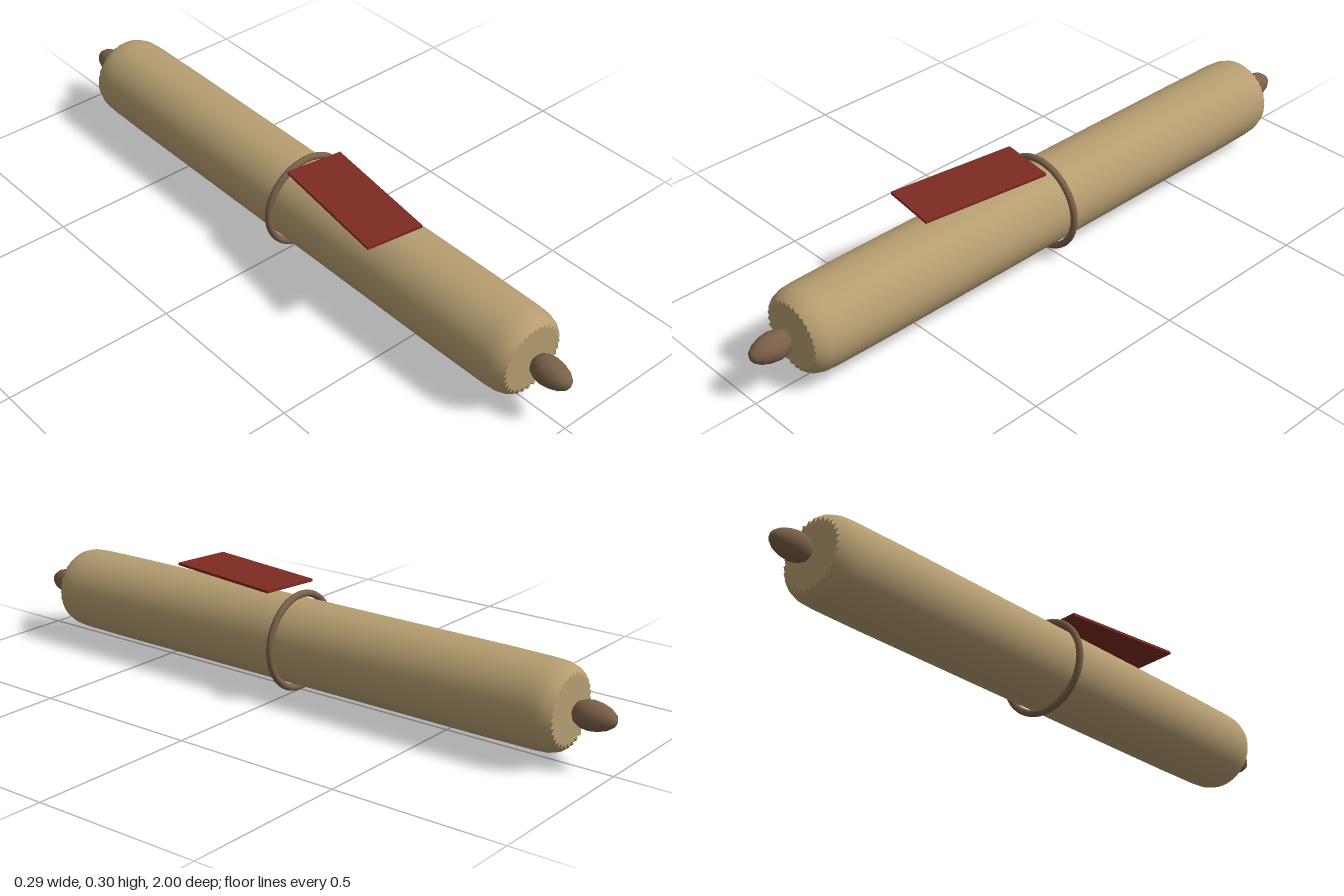
import * as THREE from 'three';

const AXIS_Y = 0.147;
const END_Z = 0.871;
const SEGMENTS = 64;
const RIM = 0.102;
const NOTCH = 0.87; // scale of every second rim point

const mat = (name, color) => new THREE.MeshStandardMaterial({ name, color });

export function createModel() {
  const parchment = mat('parchment', 0xb59d70);
  const wood = mat('brown wood', 0x7a6047);
  const red = mat('red ribbon', 0x7d2b22);

  const model = new THREE.Group();
  model.name = 'scroll';
  const add = (name, geometry, material, y = AXIS_Y) => {
    const mesh = new THREE.Mesh(geometry, material);
    mesh.name = name;
    mesh.position.y = y;
    model.add(mesh);
    return mesh;
  };

  // Rolled sheet: a long roll with rounded shoulders and ragged rims
  const half = [[0.123, 0.64], [0.1215, 0.8], [0.119, 0.835], [0.112, 0.857], [RIM, END_Z]];
  const profile = [
    ...half.slice().reverse().map(([r, z]) => new THREE.Vector2(r, -z)),
    ...half.map(([r, z]) => new THREE.Vector2(r, z)),
  ];
  const roll = new THREE.LatheGeometry(profile, SEGMENTS);
  const p = roll.attributes.position;
  for (let i = 1; i < SEGMENTS; i += 2) {
    for (const j of [0, profile.length - 1]) {
      const k = i * profile.length + j;
      p.setXYZ(k, p.getX(k) * NOTCH, p.getY(k), p.getZ(k) * NOTCH);
    }
  }
  add('roll', roll.rotateX(Math.PI / 2), parchment);

  // Egg-shaped finial profile, running outward along the axis
  const knobProfile = [
    [0, 0.88], [0.018, 0.882], [0.029, 0.89], [0.037, 0.907], [0.04, 0.927],
    [0.037, 0.952], [0.029, 0.976], [0.017, 0.993], [0.008, 0.998], [0, 1],
  ].map(([r, z]) => new THREE.Vector2(r, z));

  for (const side of [1, -1]) {
    const label = side > 0 ? 'front' : 'back';

    // Ragged flat end
    const cap = new THREE.CircleGeometry(RIM, SEGMENTS);
    const c = cap.attributes.position;
    for (let i = 1; i <= SEGMENTS; i += 2) {
      c.setXY(i + 1, c.getX(i + 1) * NOTCH, c.getY(i + 1) * NOTCH);
    }
    cap.translate(0, 0, END_Z);
    if (side < 0) cap.rotateY(Math.PI);
    add(label + 'End', cap, parchment);

    // Wooden knob
    const knob = new THREE.LatheGeometry(knobProfile, 32).rotateX(side * Math.PI / 2);
    add(label + 'Knob', knob, wood);
  }

  // Band around the middle
  add('band', new THREE.TorusGeometry(0.136, 0.01, 16, 64), wood);

  // Flat ribbon tag lying across the top
  const tag = add('ribbonTag', new THREE.BoxGeometry(0.173, 0.008, 0.39), red, 0.298);
  tag.position.set(-0.033, 0.298, 0.235);
  tag.rotation.y = -0.14;

  return model;
}
